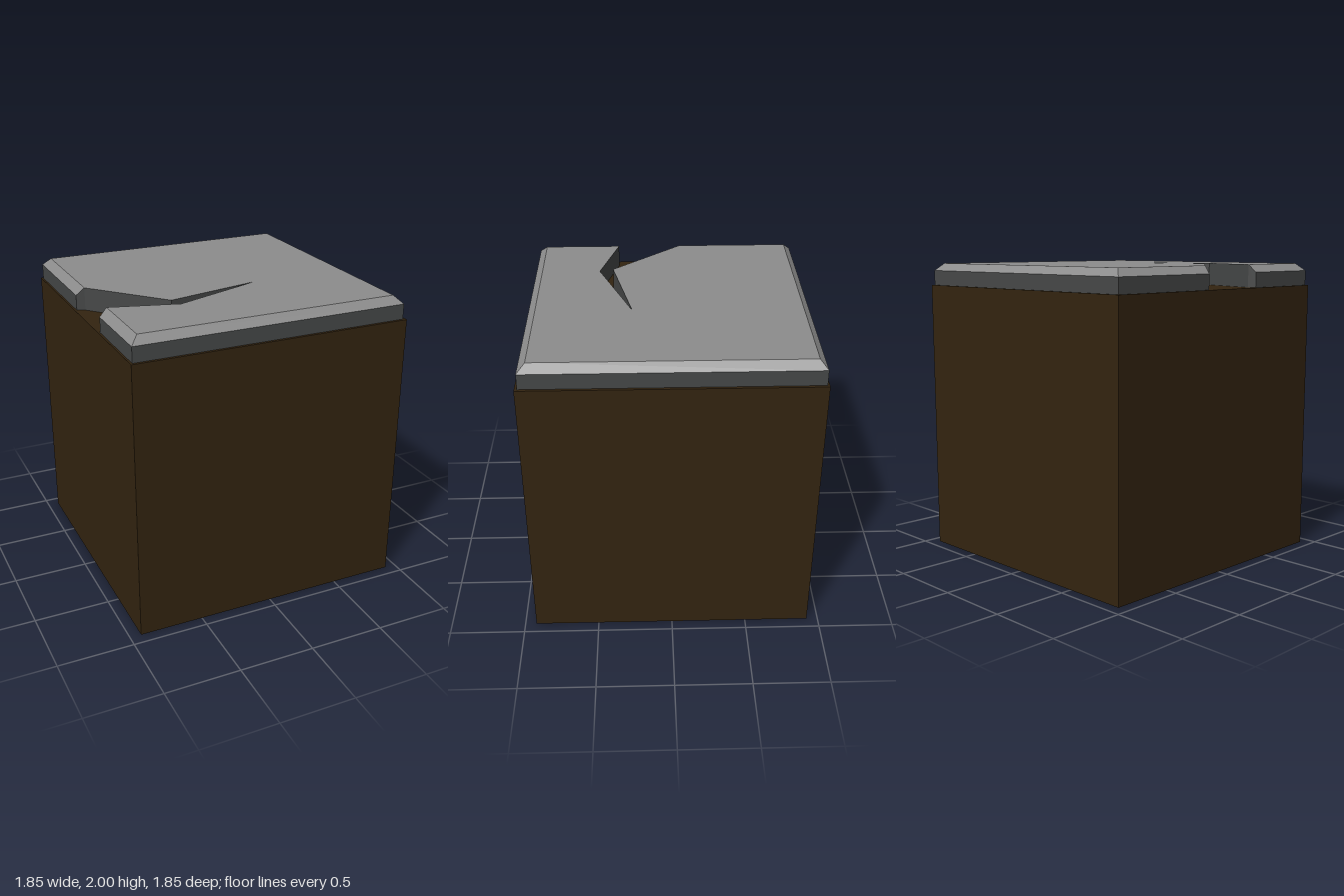
import * as THREE from 'three';

const BASE = 1.85, RIM = 1.95, TOP = 2;

// Builds a flat-faced mesh from quads whose corners run counter-clockwise
function quadMesh(name, quads, material) {
  const pos = [];
  for (const [a, b, c, d] of quads) pos.push(...a, ...b, ...c, ...a, ...c, ...d);
  const geo = new THREE.BufferGeometry();
  geo.setAttribute('position', new THREE.Float32BufferAttribute(pos, 3));
  geo.computeVertexNormals();
  const mesh = new THREE.Mesh(geo, material);
  mesh.name = name;
  return mesh;
}

export function createModel() {
  const group = new THREE.Group();
  group.name = 'crackedBlock';
  const earth = new THREE.MeshStandardMaterial({ name: 'dark brown', color: 0x332410 });
  const stone = new THREE.MeshStandardMaterial({ name: 'light grey', color: 0x8c8c8c });
  const edge = new THREE.MeshStandardMaterial({ name: 'dark grey', color: 0x464848 });

  // Earth block
  const block = new THREE.Mesh(new THREE.BoxGeometry(1.85, BASE, 1.85), earth);
  block.name = 'earthBlock';
  block.position.y = BASE / 2;
  group.add(block);

  // Slab rim [x, z], from one side of the crack's mouth round to the other
  const outer = [[-0.912, -0.12], [-0.912, -0.912], [0.907, -0.912], [0.907, 0.907], [-0.912, 0.907], [-0.912, 0.35]];
  const inner = [[-0.86, -0.10], [-0.86, -0.863], [0.856, -0.863], [0.856, 0.855], [-0.86, 0.855], [-0.86, 0.335]];
  // Crack running in from the mouth to its tip and back
  const crack = [[-0.42, 0.46], [0.19, 0.235], [-0.45, 0.37]];

  // Flat slab top
  const outline = [...inner, ...crack].map(([x, z]) => new THREE.Vector2(x, -z));
  const top = new THREE.Mesh(new THREE.ShapeGeometry(new THREE.Shape(outline)).rotateX(-Math.PI / 2), stone);
  top.name = 'slabTop';
  top.position.y = TOP;
  group.add(top);

  // Bevel between the top and the upright sides
  const at = ([x, z], y) => [x, y, z];
  const bevels = outer.slice(1).map((p, i) => [
    at(outer[i], RIM), at(inner[i], TOP), at(inner[i + 1], TOP), at(p, RIM),
  ]);
  group.add(quadMesh('slabBevel', bevels, stone));

  // Upright sides of the slab and of the crack
  const loop = [
    ...outer.map((p) => [p, RIM]),
    [inner[5], TOP],
    ...crack.map((p) => [p, TOP]),
    [inner[0], TOP],
  ];
  const walls = loop.map(([p, h], i) => {
    const [q, k] = loop[(i + 1) % loop.length];
    return [at(p, BASE), at(p, h), at(q, k), at(q, BASE)];
  });
  group.add(quadMesh('slabSides', walls, edge));

  return group;
}
